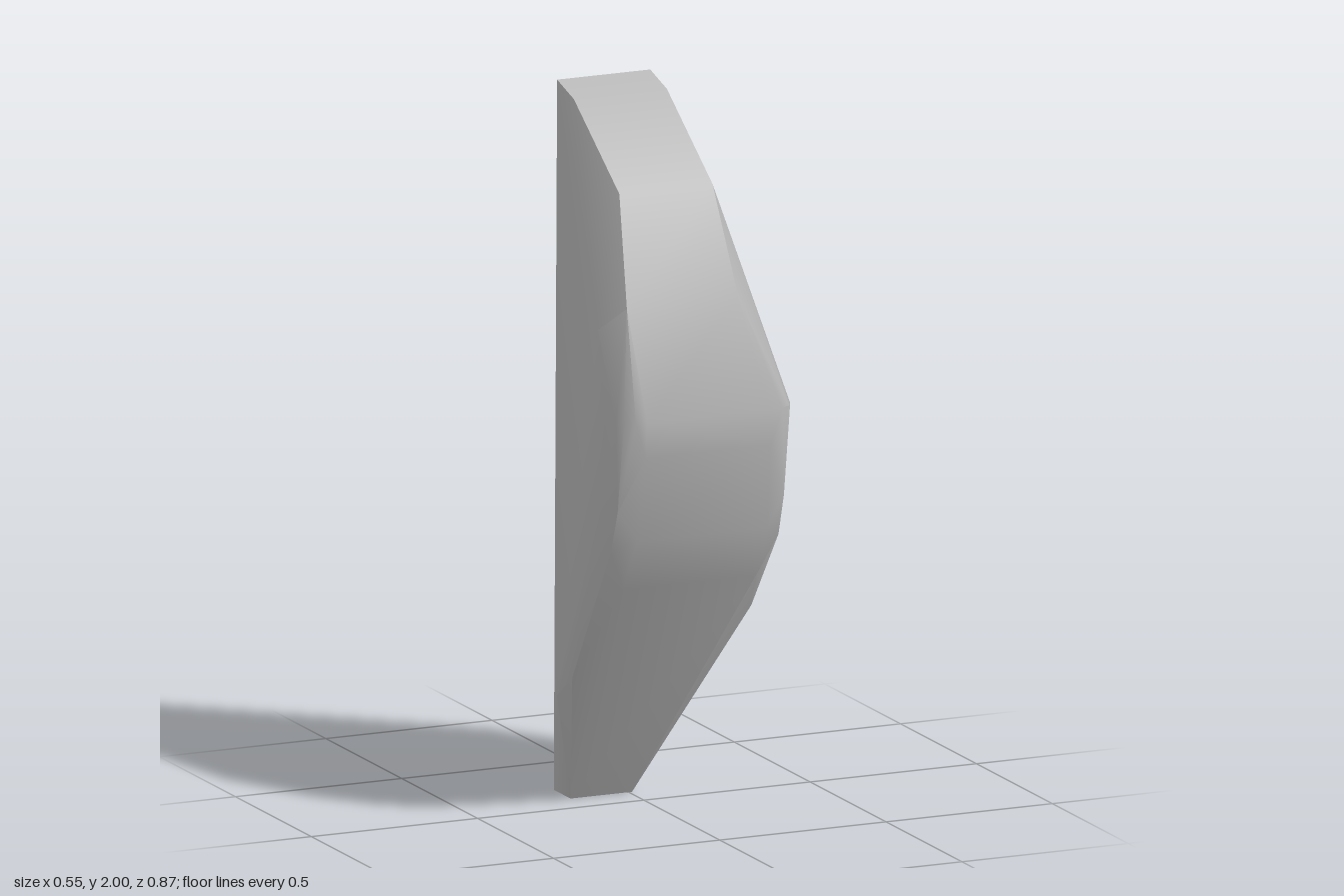
import * as THREE from 'three';
import { ConvexGeometry } from 'three/addons/geometries/ConvexGeometry.js';
import { toCreasedNormals } from 'three/addons/utils/BufferGeometryUtils.js';

export function createModel() {
  const group = new THREE.Group();
  group.name = 'standingStone';
  const stoneGrey = new THREE.MeshStandardMaterial({ color: 0xb8b8b8 });
  stoneGrey.name = 'stone grey';

  const points = [];
  const add = (x, y, z) => points.push(new THREE.Vector3(x, y, z));

  // Crown and front ridge: rows of [left x, right x, y, z]
  const rows = [
    [-0.165, 0.115, 2, -0.21],
    [-0.165, 0.115, 1.97, -0.1],
    [-0.165, 0.115, 1.77, 0.2],
    [-0.22, 0.115, 1.49, 0.37],
    [-0.19, 0.185, 1.18, 0.437],
    [-0.19, 0.185, 1.08, 0.431],
    [-0.19, 0.2, 0.83, 0.372],
    [-0.2, 0.2, 0.68, 0.3],
    // Foot
    [-0.175, 0.01, 0, -0.1],
    [-0.175, 0.01, 0, -0.21],
  ];
  for (const [x0, x1, y, z] of rows) {
    add(x0, y, z);
    add(x1, y, z);
  }

  // Rounded front corners, the same on both sides: [x, y, z]
  const bevel = [
    [0.275, 1.18, 0.345], [0.262, 1.18, 0.39], [0.248, 1.18, 0.412], [0.22, 1.18, 0.43],
    [0.275, 0.92, 0.32], [0.25, 0.92, 0.375],
    [0.275, 0.78, 0.27], [0.252, 0.8, 0.335],
  ];
  for (const s of [-1, 1]) for (const [x, y, z] of bevel) add(s * x, y, z);

  // Broad right flank, down to its rounded lower edge
  add(0.275, 0.7, -0.437);
  add(0.275, 0.6, 0.12);
  add(0.25, 0.56, 0.16);
  add(0.275, 0.43, -0.1);
  add(0.25, 0.37, -0.12);
  add(0.275, 0.36, -0.437);
  add(0.255, 0.3, -0.437);

  // Narrow back edge
  add(0.12, 0.82, -0.437);
  add(0.12, 0.22, -0.437);

  // Left flank
  add(-0.275, 1.42, 0.3);
  add(-0.275, 1.14, 0.03);
  add(-0.275, 0.33, 0.03);
  add(-0.27, 0.4, 0.12);

  const geometry = toCreasedNormals(new ConvexGeometry(points), 0.55);
  const stone = new THREE.Mesh(geometry, stoneGrey);
  stone.name = 'stone';
  group.add(stone);
  return group;
}
